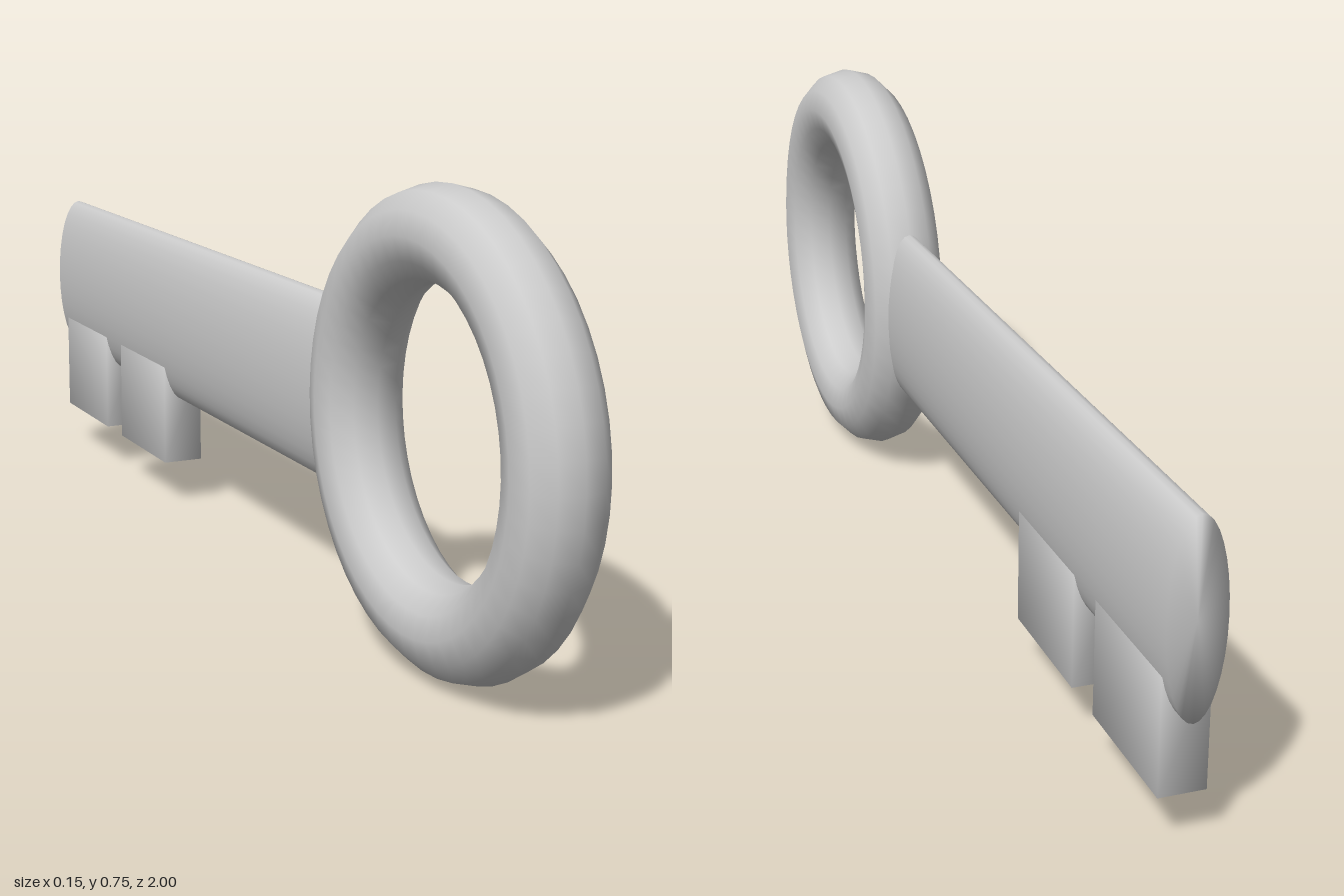
import * as THREE from 'three';
import { mergeVertices } from 'three/addons/utils/BufferGeometryUtils.js';

// Share corner vertices so shading runs softly across edges
function soften(geometry) {
  geometry.deleteAttribute('uv');
  geometry.deleteAttribute('normal');
  const merged = mergeVertices(geometry, 1e-4);
  merged.computeVertexNormals();
  return merged;
}

export function createModel() {
  const key = new THREE.Group();
  key.name = 'key';
  const material = new THREE.MeshStandardMaterial({ color: 0xcccccc });

  const add = (name, geometry, x, y, z) => {
    const mesh = new THREE.Mesh(geometry, material);
    mesh.name = name;
    mesh.position.set(x, y, z);
    key.add(mesh);
    return mesh;
  };

  // Ring handle, standing in the YZ plane
  const ring = new THREE.TorusGeometry(0.3, 0.075, 12, 48).rotateY(Math.PI / 2);
  add('ringHandle', ring, 0, 0.378, 0.625);

  // Flattened oval shaft, its front end buried in the ring
  const front = 0.32, back = -1;
  const shaft = new THREE.CylinderGeometry(1, 1, front - back, 32)
    .rotateX(Math.PI / 2)
    .scale(0.046, 0.157, 1);
  add('shaft', soften(shaft), 0, 0.368, (front + back) / 2);

  // Two square teeth under the far end
  for (const [name, z] of [['innerTooth', -0.534], ['outerTooth', -0.856]]) {
    add(name, soften(new THREE.BoxGeometry(0.075, 0.19, 0.238)), 0, 0.181, z);
  }

  return key;
}
